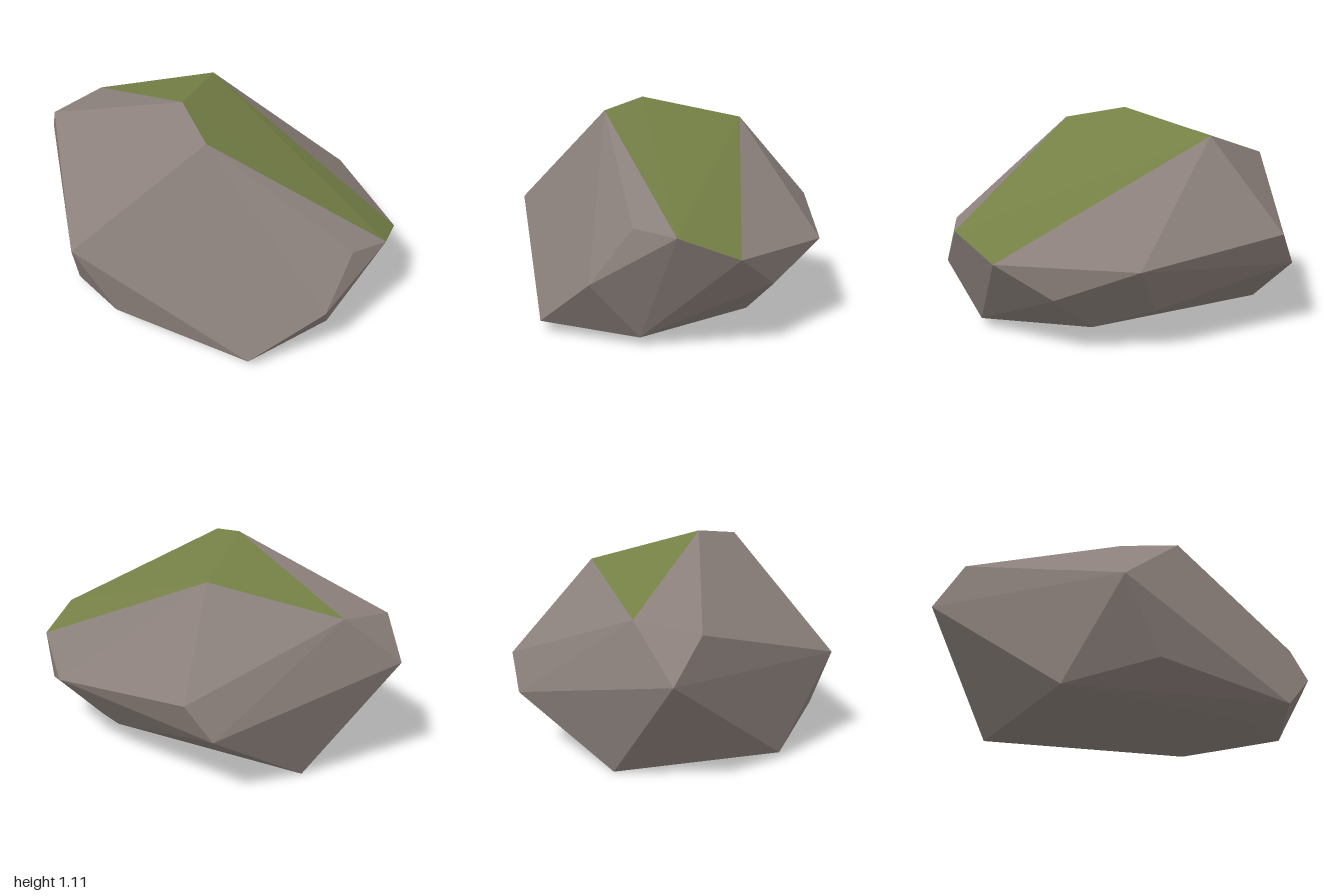
import * as THREE from 'three';
import { ConvexGeometry } from 'three/addons/geometries/ConvexGeometry.js';

// Corners of the mossy plateau on top of the boulder
const mossCorners = [
  [-0.015, 1.105, 0.138], [0.297, 1.05, 0.245], [-0.33, 0.98, -0.345],
  [-0.837, 0.826, 0.095], [0.86, 0.448, -0.605], [1.0, 0.562, -0.347],
];

// Remaining corners of the boulder
const stoneCorners = [
  // left and right flanks
  [-0.832, 0.787, 0.427], [-1.0, 0.587, 0.35], [0.966, 0.586, -0.134], [1.0, 0.318, 0.067],
  // front
  [-0.018, 0.51, 0.873], [0.15, 0.147, 0.74],
  // back
  [0.23, 0.427, -0.878], [-0.588, 0.51, -0.692], [-0.69, 0.335, -0.605],
  [0.6, 0.28, -0.71], [0.075, 0.155, -0.63],
  // base
  [0.807, 0.056, 0.402], [-0.308, 0.033, 0.678], [0.856, 0.041, -0.127],
  [0.605, 0, 0.3], [-0.74, 0, -0.06], [0.37, 0.073, -0.535],
];

const toPoint = (p) => new THREE.Vector3(...p);

function faceted(positions) {
  const geometry = new THREE.BufferGeometry();
  geometry.setAttribute('position', new THREE.Float32BufferAttribute(positions, 3));
  geometry.computeVertexNormals();
  return geometry;
}

export function createModel() {
  const stone = new THREE.MeshStandardMaterial({ color: 0x8b807b });
  stone.name = 'stone';
  const moss = new THREE.MeshStandardMaterial({ color: 0x758046 });
  moss.name = 'moss';

  const mossPoints = mossCorners.map(toPoint);
  const hull = new ConvexGeometry([...mossPoints, ...stoneCorners.map(toPoint)]);
  const position = hull.getAttribute('position');

  // A facet is mossy when all three of its corners lie on the plateau
  const corner = new THREE.Vector3();
  const onPlateau = (i) => {
    corner.fromBufferAttribute(position, i);
    return mossPoints.some((p) => p.distanceTo(corner) < 1e-4);
  };
  const stoneFacets = [];
  const mossFacets = [];
  for (let i = 0; i < position.count; i += 3) {
    const mossy = [i, i + 1, i + 2].every(onPlateau);
    const target = mossy ? mossFacets : stoneFacets;
    for (let k = i; k < i + 3; k++) {
      target.push(position.getX(k), position.getY(k), position.getZ(k));
    }
  }

  const group = new THREE.Group();
  group.name = 'boulder';
  const rock = new THREE.Mesh(faceted(stoneFacets), stone);
  rock.name = 'rockBody';
  const top = new THREE.Mesh(faceted(mossFacets), moss);
  top.name = 'mossTop';
  group.add(rock, top);
  return group;
}
